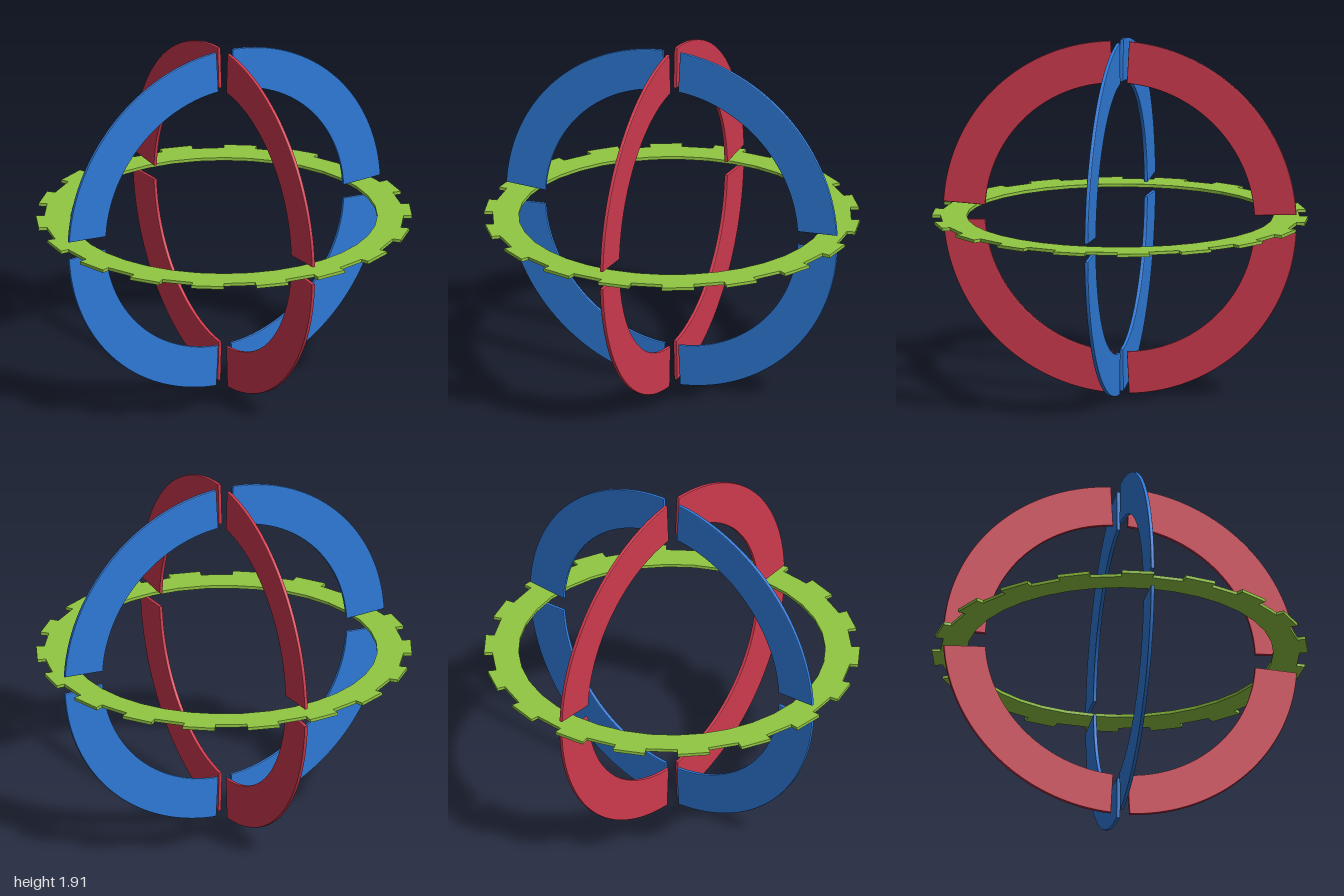
import * as THREE from 'three';
import { toCreasedNormals } from 'three/addons/utils/BufferGeometryUtils.js';

const CENTRE_Y = 0.957;
const rad = THREE.MathUtils.degToRad;

// Quarter band with softened edges, lying in the XY plane and centred on z = 0
function arcGeometry(inner, outer, gap, thickness) {
  const shape = new THREE.Shape();
  const a = rad(gap), b = rad(90 - gap);
  shape.absarc(0, 0, outer, a, b, false);
  shape.absarc(0, 0, inner, b, a, true);
  shape.closePath();
  const bevel = 0.005;
  const geometry = new THREE.ExtrudeGeometry(shape, {
    depth: thickness - 2 * bevel, curveSegments: 28,
    bevelThickness: bevel, bevelSize: bevel, bevelOffset: -bevel, bevelSegments: 2,
  });
  geometry.translate(0, 0, -thickness / 2 + bevel);
  return toCreasedNormals(geometry, 0.35);
}

// Flat ring with square teeth on every other 10 degree step
function toothedRingGeometry(inner, root, tip, thickness) {
  const point = (r, deg) => new THREE.Vector2(r * Math.cos(rad(deg)), r * Math.sin(rad(deg)));
  const outline = [], hole = [];
  for (let i = 0; i < 36; i++) {
    const r = i % 2 ? tip : root;
    outline.push(point(r, i * 10), point(r, i * 10 + 10));
    hole.push(point(inner, i * 10));
  }
  const shape = new THREE.Shape(outline);
  shape.holes.push(new THREE.Path(hole));
  const geometry = new THREE.ExtrudeGeometry(shape, { depth: thickness, bevelEnabled: false });
  geometry.translate(0, 0, -thickness / 2);
  geometry.rotateX(-Math.PI / 2);
  return geometry;
}

export function createModel() {
  const model = new THREE.Group();
  model.name = 'ringSphere';
  const blue = new THREE.MeshStandardMaterial({ color: 0x2f7ad8 });
  const red = new THREE.MeshStandardMaterial({ color: 0xcf3a4e });
  const green = new THREE.MeshStandardMaterial({ color: 0x92c743 });

  // Two upright rings, each split into four arcs
  const arc = arcGeometry(0.729, 0.956, 3, 0.02);
  const uprights = [['sideToSideRing', blue, 0], ['frontToBackRing', red, Math.PI / 2]];
  for (const [name, material, turn] of uprights) {
    const ring = new THREE.Group();
    ring.name = name;
    for (let i = 0; i < 4; i++) {
      const mesh = new THREE.Mesh(arc, material);
      mesh.name = `${name}Arc${i + 1}`;
      mesh.rotation.z = i * Math.PI / 2;
      ring.add(mesh);
    }
    ring.rotation.y = turn;
    ring.position.y = CENTRE_Y;
    model.add(ring);
  }

  // Level ring with teeth
  const level = new THREE.Mesh(toothedRingGeometry(0.815, 0.955, 1, 0.017), green);
  level.name = 'toothedLevelRing';
  level.position.y = CENTRE_Y;
  model.add(level);
  return model;
}
